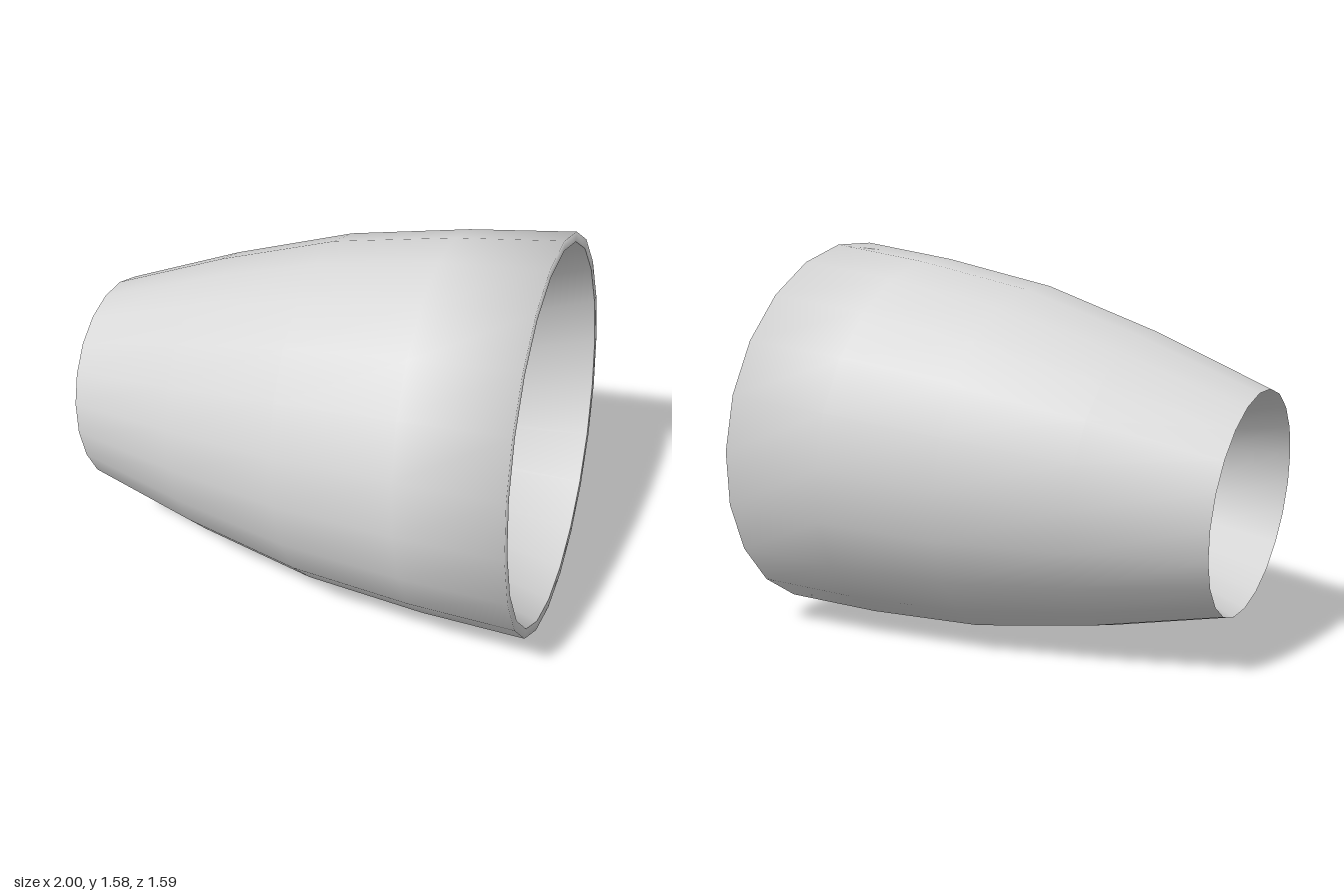
import * as THREE from 'three';

const SIDES = 22;

// Lathe whose normals average the two neighbouring bands equally
function softLathe(profile) {
  const points = profile.map(([r, s]) => new THREE.Vector2(r, s));
  const bands = points.slice(1).map((p, i) => {
    const d = p.clone().sub(points[i]).normalize();
    return new THREE.Vector2(d.y, -d.x);
  });
  const normals = points.map((p, j) => {
    const before = bands[Math.max(j - 1, 0)];
    const after = bands[Math.min(j, bands.length - 1)];
    return before.clone().add(after).normalize();
  });
  const geometry = new THREE.LatheGeometry(points, SIDES);
  for (let i = 0; i <= SIDES; i++) {
    const a = (i / SIDES) * Math.PI * 2;
    normals.forEach((n, j) => {
      geometry.attributes.normal.setXYZ(i * points.length + j, n.x * Math.sin(a), n.y, n.x * Math.cos(a));
    });
  }
  return geometry;
}

export function createModel() {
  const model = new THREE.Group();
  model.name = 'cup';
  const grey = new THREE.MeshStandardMaterial({ color: 0xd8d8d8 });
  grey.name = 'light grey';

  // Cup lying on its side: profiles are [radius, distance from the small end]
  const cup = new THREE.Group();
  cup.name = 'cupBody';
  const addPart = (name, profile) => {
    const mesh = new THREE.Mesh(softLathe(profile), grey);
    mesh.name = name;
    cup.add(mesh);
  };

  // Outer wall running softly over into the flat lip
  addPart('outerWallAndLip', [
    [0.444, 0], [0.594, 0.492], [0.714, 0.989], [0.771, 1.48], [0.796, 1.9], [0.758, 1.9],
  ]);

  // Inner wall tapering straight down to a small flat floor
  addPart('innerBowl', [
    [0.758, 1.9], [0.29, 0.33], [0.17, 0.32], [0, 0.32],
  ]);

  // Hollow foot under the bowl
  addPart('footRecessWall', [[0.36, 0.276], [0.444, 0]]);
  addPart('footRecessFloor', [[0, 0.276], [0.36, 0.276]]);

  // Lay the axis towards +x, rising slightly to the mouth
  cup.rotation.z = -Math.PI / 2 + Math.atan2(0.1625, 1.89);
  cup.position.set(-0.962, 0.635, 0);
  model.add(cup);
  return model;
}
